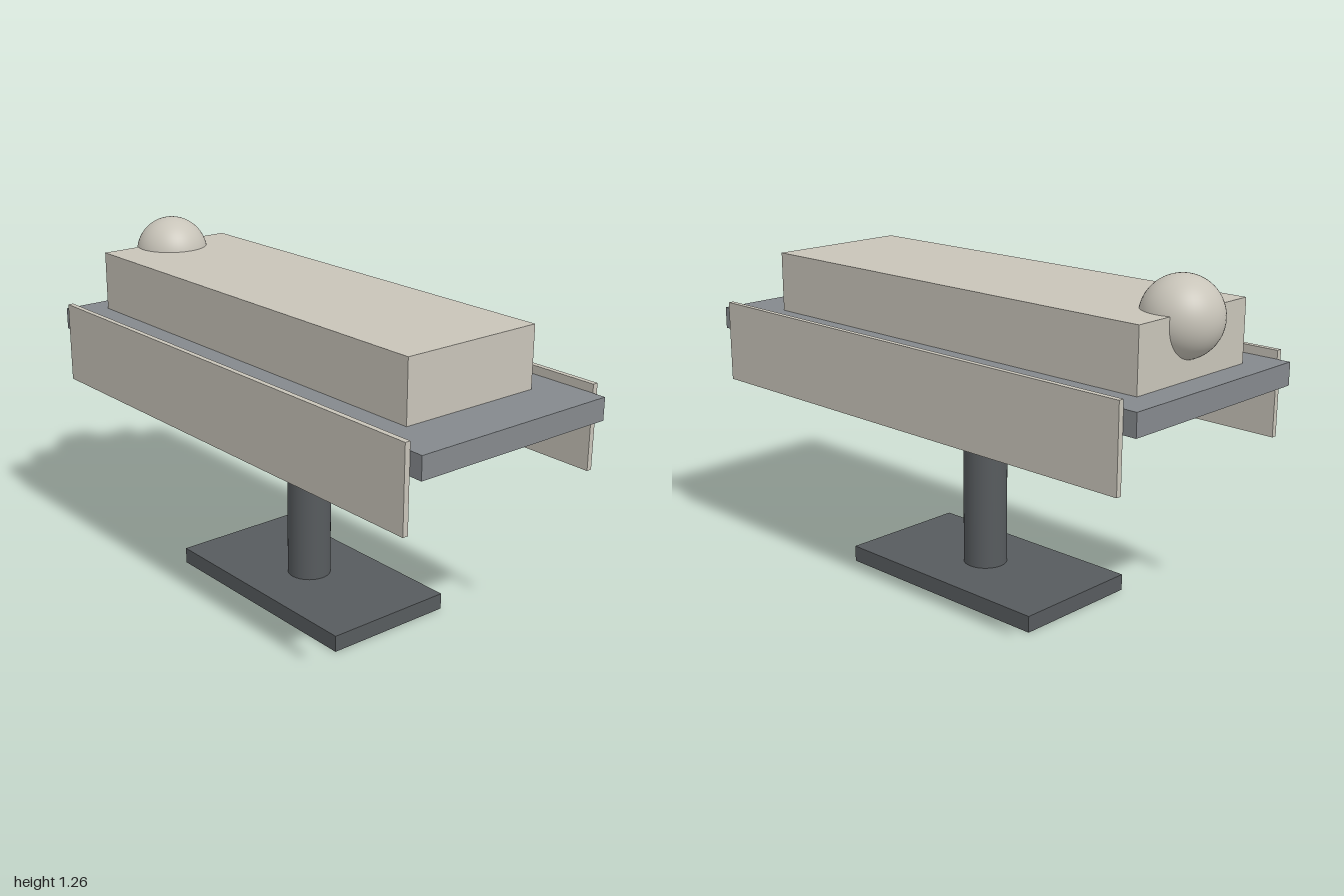
import * as THREE from 'three';

export function createModel() {
  const group = new THREE.Group();
  const material = (name, color) => {
    const m = new THREE.MeshStandardMaterial({ color });
    m.name = name;
    return m;
  };
  const cloth = material('pale cloth', 0xc8c4b9);
  const slab = material('grey metal', 0x85898d);
  const dark = material('dark metal', 0x575b5e);

  const add = (name, geometry, mat, x, y, z) => {
    const mesh = new THREE.Mesh(geometry, mat);
    mesh.name = name;
    mesh.position.set(x, y, z);
    group.add(mesh);
  };

  // Pedestal
  add('base', new THREE.BoxGeometry(0.9, 0.06, 0.5), dark, 0, 0.03, 0);
  add('column', new THREE.CylinderGeometry(0.08, 0.08, 0.79, 48), dark, 0, 0.455, 0);

  // Table slab
  add('tableTop', new THREE.BoxGeometry(2, 0.08, 0.8), slab, 0, 0.89, 0);

  // Covered form lying on the table, with a round head at one end
  add('coveredBody', new THREE.BoxGeometry(1.7, 0.22, 0.55), cloth, -0.05, 1.04, 0);
  add('coveredHead', new THREE.SphereGeometry(0.137, 48, 32), cloth, -0.852, 1.123, 0);

  // Cloth panels hanging along both long sides
  for (const side of [1, -1]) {
    add(side > 0 ? 'frontDrape' : 'backDrape',
      new THREE.BoxGeometry(1.9, 0.3, 0.02), cloth, 0, 0.81, side * 0.41);
  }
  return group;
}
